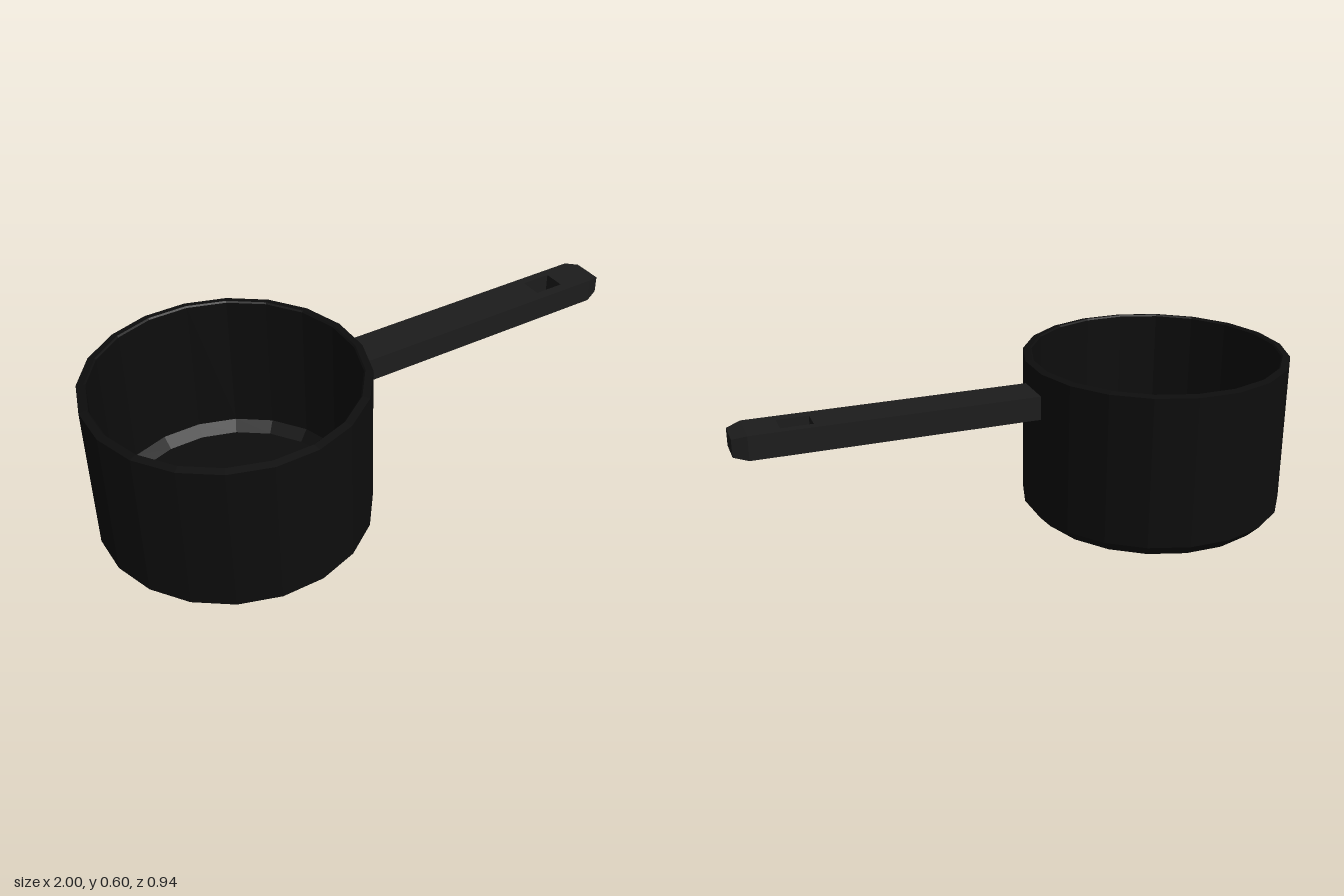
import * as THREE from 'three';

const SIDES = 20;
const POT_X = -0.5275;

export function createModel() {
  const model = new THREE.Group();
  model.name = 'saucepan';
  const potMaterial = new THREE.MeshStandardMaterial({ color: 0x0d0d0d, flatShading: true });
  const handleMaterial = new THREE.MeshStandardMaterial({ color: 0x1c1c1c, flatShading: true });

  const add = (name, geometry, material) => {
    const mesh = new THREE.Mesh(geometry, material);
    mesh.name = name;
    model.add(mesh);
    return mesh;
  };

  // Pot: one closed profile (distance to flat, height) from base, over the rim, to the inner floor
  const corner = 1 / Math.cos(Math.PI / SIDES);
  const profile = [
    [0, 0], [0.43, 0], [0.4725, 0.045], [0.4725, 0.59], [0.447, 0.595],
    [0.442, 0.59], [0.442, 0.07], [0.405, 0.035], [0, 0.035],
  ].map(([r, y]) => new THREE.Vector2(r * corner, y));
  const pot = add('pot', new THREE.LatheGeometry(profile, SIDES, Math.PI / SIDES), potMaterial);
  pot.position.x = POT_X;

  // Handle bar with a rectangular hanging hole
  const bottom = 0.423, top = 0.509, half = 0.073, centreZ = -0.003;
  const rect = (path, x0, x1, y0, y1) => {
    path.moveTo(x0, y0);
    path.lineTo(x1, y0);
    path.lineTo(x1, y1);
    path.lineTo(x0, y1);
    path.closePath();
    return path;
  };
  const outline = rect(new THREE.Shape(), -0.07, 0.95, -half, half);
  outline.holes.push(rect(new THREE.Path(), 0.73, 0.84, -0.036, 0.042));
  const bar = new THREE.ExtrudeGeometry(outline, { depth: top - bottom, bevelEnabled: false });
  bar.rotateX(-Math.PI / 2);
  add('handle', bar, handleMaterial).position.set(0, bottom, centreZ);

  // Handle tip: a box narrowed towards its outer face
  const tip = new THREE.BoxGeometry(0.05, top - bottom, half * 2);
  const p = tip.attributes.position;
  for (let i = 0; i < p.count; i++) {
    if (p.getX(i) > 0) {
      p.setY(i, p.getY(i) * 0.72);
      p.setZ(i, p.getZ(i) * 0.74);
    }
  }
  tip.computeVertexNormals();
  add('handleTip', tip, handleMaterial).position.set(0.975, (top + bottom) / 2, centreZ);

  return model;
}
